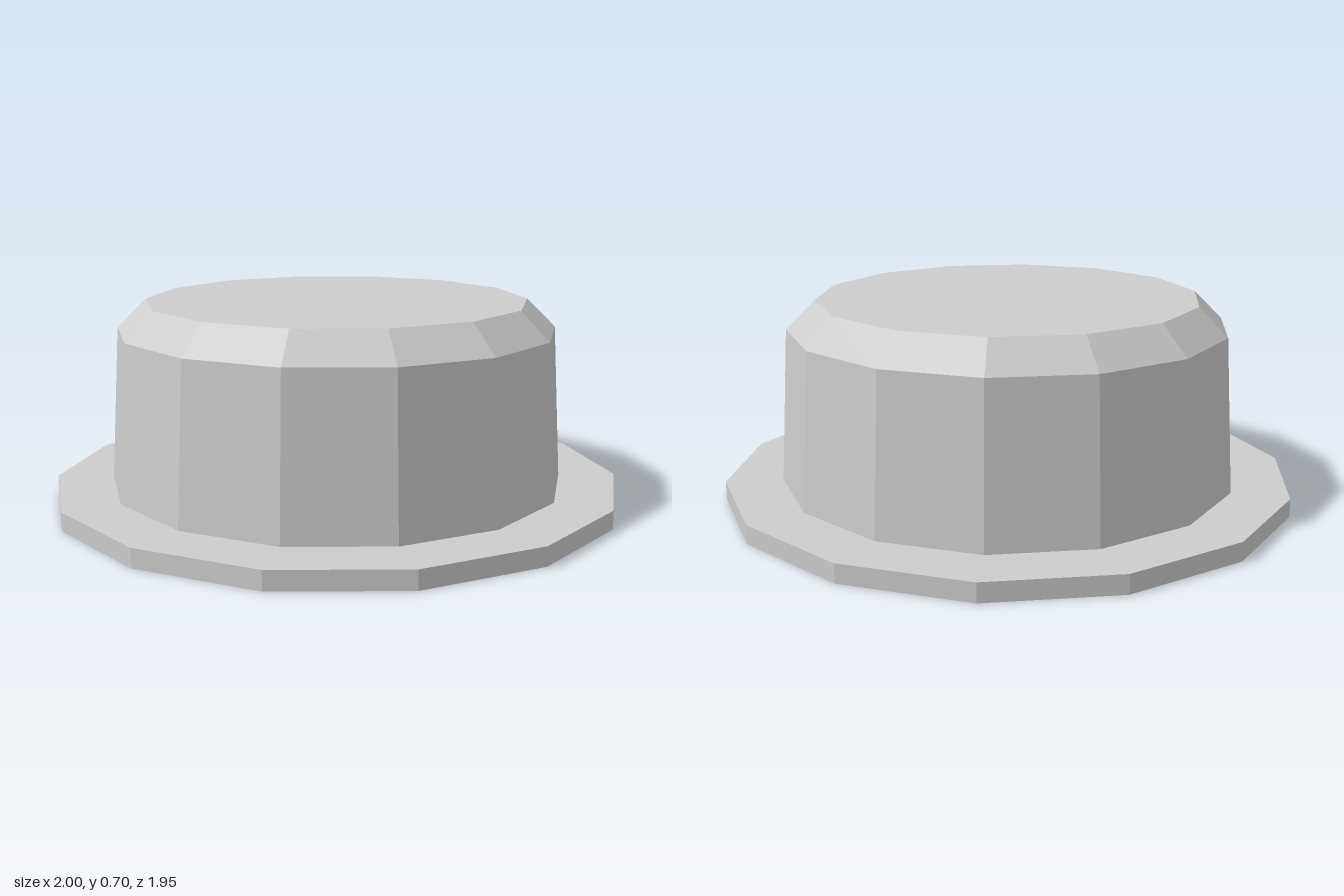
import * as THREE from 'three';

const SIDES = 14;

export function createModel() {
  const group = new THREE.Group();
  group.name = 'flangedCap';
  const grey = new THREE.MeshStandardMaterial({ color: 0xcccccc, flatShading: true });
  grey.name = 'light grey';

  // Faceted ring section standing on y0, with a corner on the x axis
  function section(name, rBottom, rTop, y0, y1, open = false) {
    const geometry = new THREE.CylinderGeometry(rTop, rBottom, y1 - y0, SIDES, 1, open);
    geometry.rotateY(Math.PI / 2);
    geometry.translate(0, (y0 + y1) / 2, 0);
    const mesh = new THREE.Mesh(geometry, grey);
    mesh.name = name;
    group.add(mesh);
  }

  // Flat base flange
  section('flange', 1, 1, 0, 0.065);

  // Slightly tapered wall, open where it meets its neighbours
  section('wall', 0.8, 0.767, 0.065, 0.604, true);

  // Bevelled rim and flat top as one fan-capped profile
  const rim = new THREE.LatheGeometry(
    [new THREE.Vector2(0.767, 0.604), new THREE.Vector2(0.667, 0.703), new THREE.Vector2(0, 0.703)],
    SIDES
  );
  rim.rotateY(Math.PI / 2);
  const top = new THREE.Mesh(rim, grey);
  top.name = 'bevelledTop';
  group.add(top);

  return group;
}
